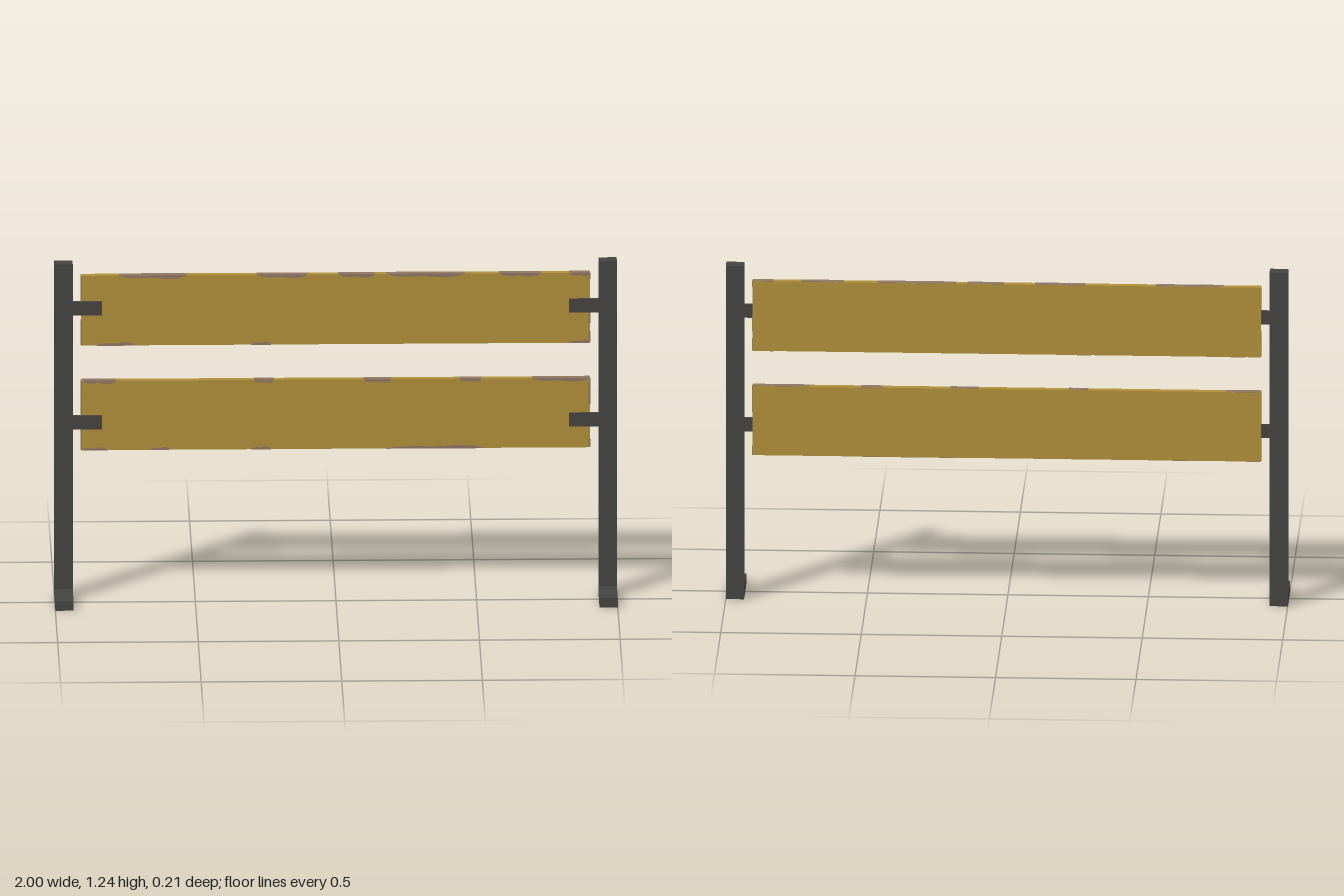
import * as THREE from 'three';

const mat = (name, color) => {
  const m = new THREE.MeshStandardMaterial({ color });
  m.name = name;
  return m;
};

export function createModel() {
  const root = new THREE.Group();
  root.name = 'signFrame';
  const metal = mat('dark metal', 0x464242);
  const paint = mat('ochre paint', 0xb08f3a);
  const bare = mat('worn wood', 0x8f7563);

  // Box given by its low and high corners
  const box = (parent, name, material, [x0, y0, z0], [x1, y1, z1]) => {
    const mesh = new THREE.Mesh(new THREE.BoxGeometry(x1 - x0, y1 - y0, z1 - z0), material);
    mesh.position.set((x0 + x1) / 2, (y0 + y1) / 2, (z0 + z1) / 2);
    mesh.name = name;
    parent.add(mesh);
  };

  // Uneven chip of worn paint wrapping a long edge; dir is +1 for a top edge
  const chip = (parent, x0, x1, y, dir, depth = 0.013) => {
    const w = x1 - x0;
    const out = y + dir * 0.001;
    const at = (t, d) => new THREE.Vector2(x0 + w * t, y - dir * d * depth);
    const shape = new THREE.Shape([
      new THREE.Vector2(x0, out), at(0.1, 0.6), at(0.3, 0.75), at(0.5, 0.6),
      at(0.7, 1), at(0.9, 0.8), new THREE.Vector2(x1, out),
    ]);
    const geo = new THREE.ExtrudeGeometry(shape, { depth: 0.0255, bevelEnabled: false });
    const mesh = new THREE.Mesh(geo, bare);
    mesh.position.z = -0.1045;
    mesh.name = 'wornEdge';
    parent.add(mesh);
  };

  // Posts with forward feet
  for (const s of [-1, 1]) {
    const side = new THREE.Group();
    side.name = s > 0 ? 'leftPost' : 'rightPost';
    const a = s > 0 ? 0.935 : -1;
    box(side, 'upright', metal, [a, 0, -0.095], [a + 0.065, 1.24, -0.045]);
    box(side, 'foot', metal, [a, 0, -0.045], [a + 0.065, 0.035, 0.105]);
    // Flat brackets holding the planks
    const b = s > 0 ? 0.83 : -0.94;
    for (const y of [0.645, 1.068])
      box(side, 'bracket', metal, [b, y - 0.025, -0.08], [b + 0.11, y + 0.025, -0.07]);
    root.add(side);
  }

  // Planks: wear along top and bottom edges as x ranges, and on the ends as y ranges
  const planks = [
    {
      name: 'upperPlank', y0: 0.928, y1: 1.187,
      top: [[-0.77, -0.53], [-0.28, -0.1], [0.01, 0.14], [0.18, 0.46], [0.58, 0.73], [0.83, 0.903]],
      bottom: [[-0.85, -0.71], [-0.3, -0.23], [0.83, 0.903]],
      left: [[0.93, 0.97], [1.0, 1.05], [1.165, 1.186]],
      right: [[0.93, 1.02], [1.06, 1.186]],
    },
    {
      name: 'lowerPlank', y0: 0.54, y1: 0.797,
      top: [[-0.903, -0.78], [-0.29, -0.22], [0.1, 0.2], [0.44, 0.52], [0.7, 0.903]],
      bottom: [[-0.903, -0.81], [-0.66, -0.59], [-0.3, -0.23], [0.18, 0.53]],
      left: [[0.541, 0.57], [0.7, 0.796]],
      right: [[0.541, 0.62], [0.66, 0.796]],
    },
  ];
  for (const p of planks) {
    const g = new THREE.Group();
    g.name = p.name;
    box(g, 'board', paint, [-0.905, p.y0, -0.105], [0.905, p.y1, -0.08]);
    p.top.forEach(([a, b]) => chip(g, a, b, p.y1, 1));
    p.bottom.forEach(([a, b]) => chip(g, a, b, p.y0, -1, 0.011));
    p.left.forEach(([a, b]) => box(g, 'wornEnd', bare, [0.899, a, -0.1045], [0.906, b, -0.079]));
    p.right.forEach(([a, b]) => box(g, 'wornEnd', bare, [-0.906, a, -0.1045], [-0.901, b, -0.079]));
    root.add(g);
  }
  return root;
}
